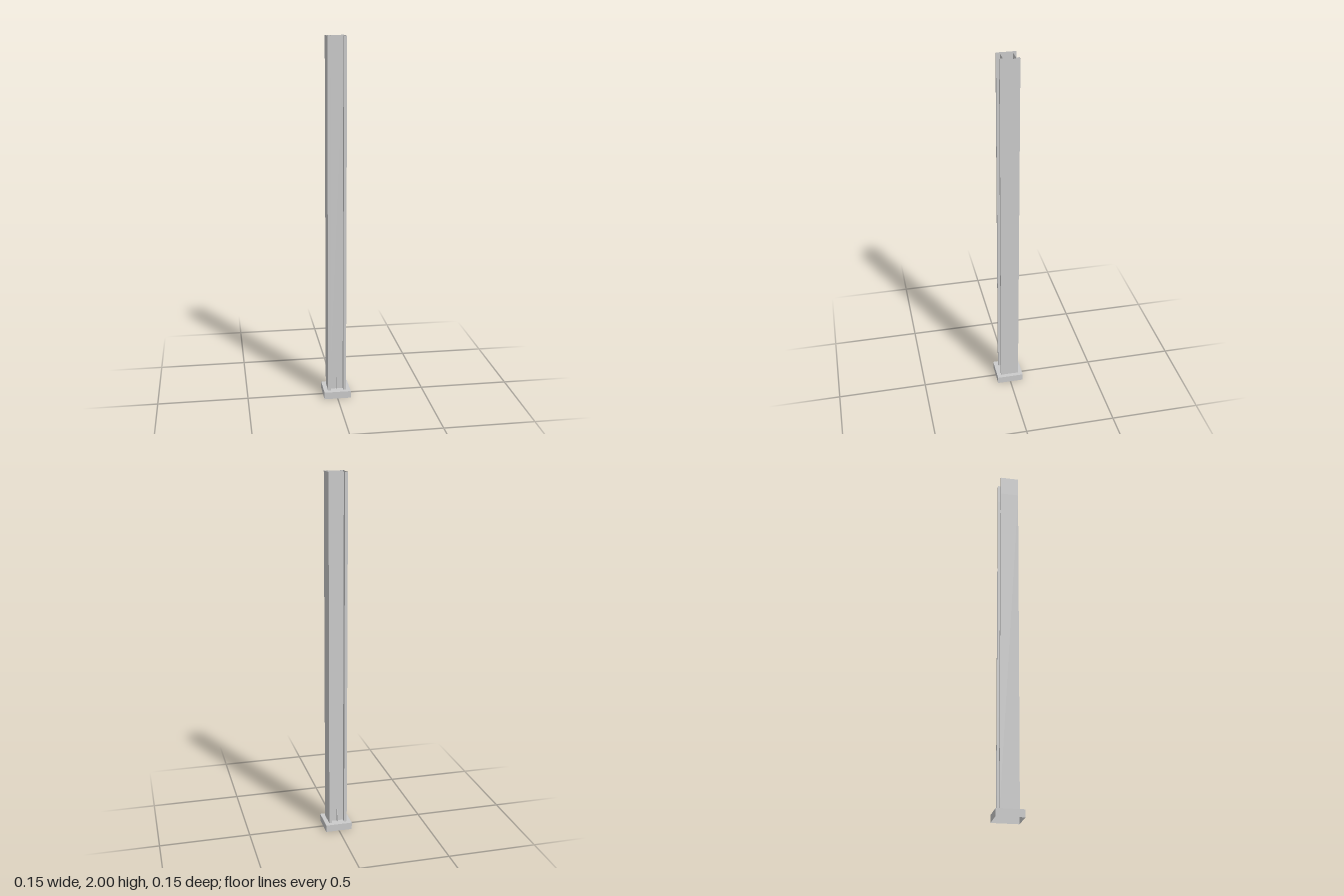
import * as THREE from 'three';

const BASE_HALF = 0.0745, BASE_TOP = 0.04;
const FLANGE = 0.051;          // outer half width and depth of the post
const INNER = 0.0355;          // half width of the channel between flanges
const WEB = 0.0255, CAP = 0.0325; // half depth of the web, below and above the step
const STEP_Y = 1.89, TOP_Y = 2;

const material = new THREE.MeshStandardMaterial({ color: 0xcccccc, flatShading: true, side: THREE.DoubleSide });

// H-shaped outline as [x, z] points, front edge first
function hOutline(web) {
  return [
    [-INNER, web], [INNER, web], [INNER, FLANGE], [FLANGE, FLANGE],
    [FLANGE, -FLANGE], [INNER, -FLANGE], [INNER, -web], [-INNER, -web],
    [-INNER, -FLANGE], [-FLANGE, -FLANGE], [-FLANGE, FLANGE], [-INNER, FLANGE],
  ];
}

// Open vertical sheet following a closed outline
function wallGeometry(outline, y0, y1) {
  const pos = [];
  outline.forEach(([ax, az], i) => {
    const [bx, bz] = outline[(i + 1) % outline.length];
    pos.push(ax, y0, az, bx, y0, bz, bx, y1, bz, ax, y0, az, bx, y1, bz, ax, y1, az);
  });
  const geo = new THREE.BufferGeometry();
  geo.setAttribute('position', new THREE.Float32BufferAttribute(pos, 3));
  geo.computeVertexNormals();
  return geo;
}

export function createModel() {
  const group = new THREE.Group();
  const add = (geo, name) => {
    const mesh = new THREE.Mesh(geo, material);
    mesh.name = name;
    group.add(mesh);
    return mesh;
  };

  // Base: open-bottomed skirt with a plate pierced by the post outline
  const b = BASE_HALF;
  const square = [[-b, b], [b, b], [b, -b], [-b, -b]];
  add(wallGeometry(square, 0, BASE_TOP), 'baseSkirt');
  const toVectors = (pts) => pts.map(([x, z]) => new THREE.Vector2(x, -z));
  const plate = new THREE.Shape(toVectors(square));
  plate.holes.push(new THREE.Path(toVectors(hOutline(WEB))));
  add(new THREE.ShapeGeometry(plate).rotateX(-Math.PI / 2).translate(0, BASE_TOP, 0), 'basePlate');

  // Hollow post, with a slightly thicker web near the top
  add(wallGeometry(hOutline(WEB), BASE_TOP, STEP_Y), 'postShaft');
  add(wallGeometry(hOutline(CAP), STEP_Y, TOP_Y), 'postHead');

  // Tapered fin profile in (z, y)
  const fin = new THREE.Shape([
    [0.018, BASE_TOP], [0.0455, BASE_TOP], [0.033, 0.11], [0.018, 0.11],
  ].map(([z, y]) => new THREE.Vector2(z, y)));

  for (const [side, s] of [['front', 1], ['back', -1]]) {
    // Underside of the web step
    const ledge = new THREE.PlaneGeometry(2 * INNER, CAP - WEB).rotateX(Math.PI / 2);
    add(ledge.translate(0, STEP_Y, s * (WEB + CAP) / 2), side + 'WebStep');
    // Thin stiffening fin at the foot of the web
    const finGeo = new THREE.ExtrudeGeometry(fin, { depth: 0.003, bevelEnabled: false });
    finGeo.translate(0, 0, -0.0015).rotateY(-s * Math.PI / 2);
    add(finGeo, side + 'Fin');
  }
  return group;
}
